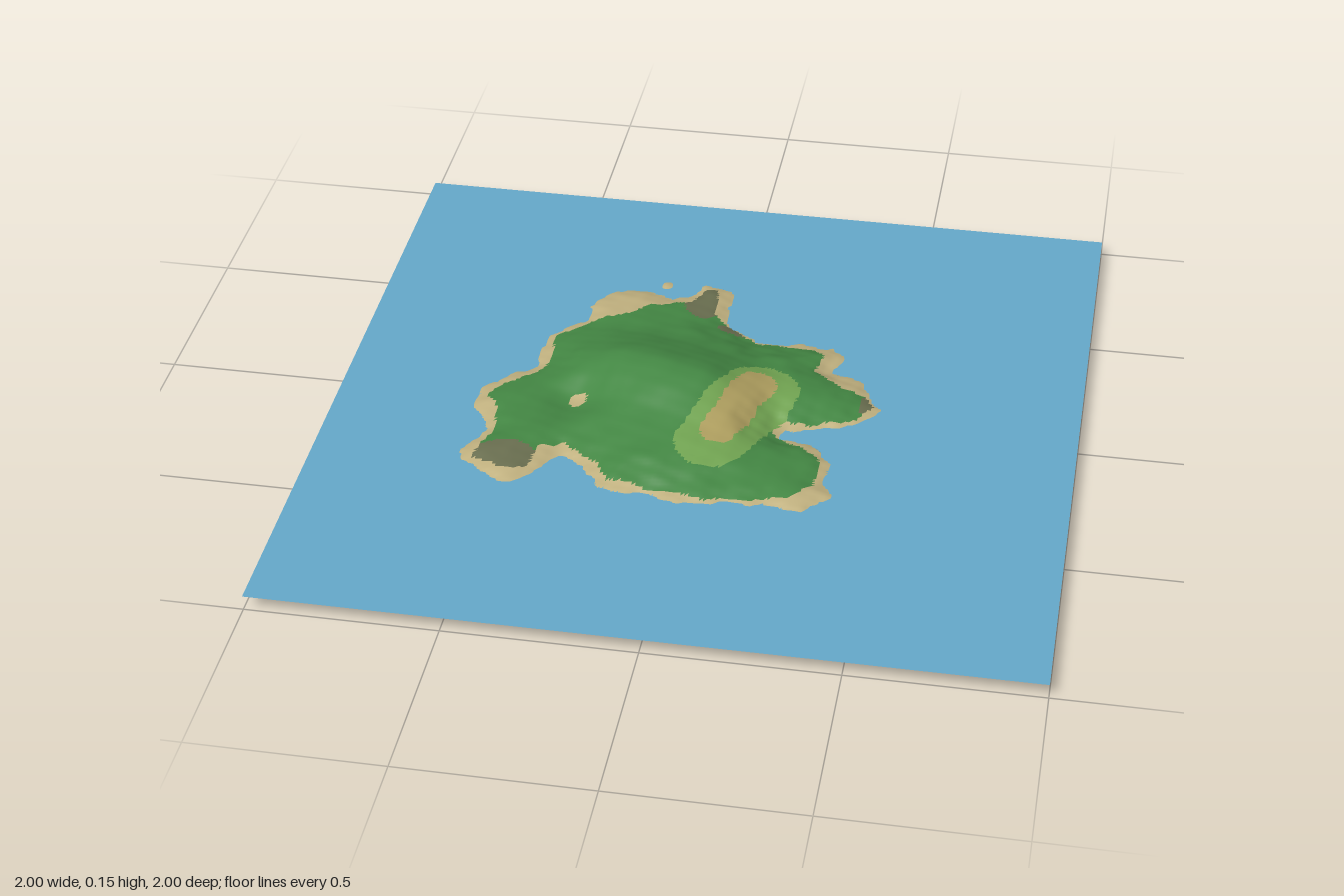
import * as THREE from 'three';

const WATER = 0.047, HALF = 0.868, N = 170;

// outlines as x, z pairs
const coast = [-0.10,-0.57, -0.03,-0.57, -0.01,-0.50, -0.02,-0.40, 0.05,-0.34, 0.10,-0.31, 0.22,-0.32, 0.30,-0.32,
  0.33,-0.27, 0.31,-0.20, 0.40,-0.17, 0.42,-0.11, 0.46,-0.05, 0.40,0.03, 0.30,0.06, 0.22,0.08, 0.21,0.12, 0.30,0.14,
  0.36,0.20, 0.35,0.30, 0.38,0.35, 0.32,0.43, 0.22,0.41, 0.12,0.42, 0.02,0.44, -0.10,0.42, -0.22,0.41, -0.26,0.34,
  -0.34,0.28, -0.38,0.33, -0.42,0.41, -0.48,0.43, -0.60,0.34, -0.60,0.28, -0.55,0.20, -0.62,0.10, -0.61,0.02,
  -0.55,-0.05, -0.49,-0.10, -0.49,-0.25, -0.40,-0.34, -0.40,-0.42, -0.35,-0.51, -0.25,-0.52, -0.18,-0.49, -0.12,-0.53];
const forest = [-0.09,-0.55, -0.06,-0.55, -0.05,-0.42, 0.02,-0.36, 0.10,-0.30, 0.25,-0.30, 0.28,-0.26, 0.27,-0.18,
  0.34,-0.12, 0.41,-0.10, 0.45,-0.06, 0.40,0.01, 0.30,0.05, 0.22,0.06, 0.19,0.11, 0.28,0.16, 0.34,0.22, 0.33,0.32,
  0.29,0.38, 0.20,0.40, 0.05,0.42, -0.05,0.41, -0.20,0.38, -0.24,0.32, -0.34,0.25, -0.40,0.27, -0.42,0.36,
  -0.48,0.38, -0.57,0.34, -0.56,0.28, -0.54,0.20, -0.55,0.12, -0.59,0.06, -0.56,0.0, -0.48,-0.06, -0.46,-0.12,
  -0.47,-0.25, -0.38,-0.34, -0.27,-0.39, -0.25,-0.43, -0.17,-0.46, -0.13,-0.47];
const shelf = [0.39,0.49, 0.42,0.25, 0.44,0.05, 0.48,-0.08, 0.45,-0.35, 0.28,-0.40, 0.11,-0.44, -0.02,-0.59, -0.14,-0.61,
  -0.27,-0.62, -0.48,-0.45, -0.63,-0.23, -0.665,0.03, -0.67,0.20, -0.71,0.36, -0.55,0.47, -0.36,0.47, -0.15,0.50, 0.05,0.535];

// rocky headlands: x, z, radius x, radius z
const rocks = [[-0.49, 0.33, 0.09, 0.065], [-0.085, -0.49, 0.06, 0.1], [0.45, -0.06, 0.045, 0.07], [0.03, -0.36, 0.06, 0.03]];
// hills and hollows: x, z, height, spread
const hills = [[-0.03, 0, 0.05, 0.11], [-0.22, -0.08, 0.047, 0.1], [-0.05, 0, 0.035, 0.25],
  [-0.02, 0.25, 0.012, 0.1], [-0.345, 0.055, -0.025, 0.06], [0.25, -0.15, 0.008, 0.1]];

function segmentDistance(x, z, ax, az, bx, bz) {
  const dx = bx - ax, dz = bz - az;
  const t = THREE.MathUtils.clamp(((x - ax) * dx + (z - az) * dz) / (dx * dx + dz * dz), 0, 1);
  return Math.hypot(x - ax - t * dx, z - az - t * dz);
}

// signed distance to an outline, positive inside
function inside(x, z, line) {
  let best = Infinity, hit = false;
  for (let i = 0, j = line.length - 2; i < line.length; j = i, i += 2) {
    const ax = line[j], az = line[j + 1], bx = line[i], bz = line[i + 1];
    best = Math.min(best, segmentDistance(x, z, ax, az, bx, bz));
    if ((az > z) !== (bz > z) && x < ax + (z - az) / (bz - az) * (bx - ax)) hit = !hit;
  }
  return hit ? best : -best;
}

// smooth repeatable unevenness, about -1 to 1
function rough(x, z, f) {
  return (Math.sin(f * (x + 0.4 * z) + 1.3) * Math.cos(f * (0.9 * z - 0.3 * x) + 0.4)
    + 0.6 * Math.sin(f * 1.9 * (z + 0.5 * x) + 2) * Math.cos(f * 2.1 * (x - 0.6 * z))) / 1.6;
}

function heightAt(x, z) {
  let d = inside(x, z, coast) + 0.011 * rough(x, z, 45);
  d = Math.max(d, 0.014 - Math.hypot(x + 0.21, z + 0.56));
  if (d < 0) {
    const away = Math.min(1, -d / 0.15);
    return Math.max(0, 0.007 + 0.04 * Math.exp(d / 0.25) + away * 0.007 * rough(x, z, 9));
  }
  let h = WATER + 0.012 * THREE.MathUtils.smoothstep(d, -0.02, 0.06);
  const rise = THREE.MathUtils.smoothstep(d, 0, 0.13);
  for (const [hx, hz, top, s] of hills)
    h += rise * top * Math.exp(-((x - hx) ** 2 + (z - hz) ** 2) / (2 * s * s));
  return h + rise * (0.004 * rough(x, z, 16) + 0.0015 * rough(x, z, 40));
}

// 0 deep, 1 shallow, 2 sand, 3 forest, 4 meadow, 5 dry grass, 6 rock
function zoneAt(x, z, y) {
  const wobble = 0.006 * rough(x, z, 40);
  if (y < WATER - 0.0005) return inside(x, z, shelf) + wobble > 0 ? 1 : 0;
  if (inside(x, z, forest) + wobble < 0 || Math.hypot(x + 0.345, z - 0.055) < 0.025) return 2;
  if (rocks.some(([rx, rz, a, b]) => ((x - rx) / a) ** 2 + ((z - rz) / b) ** 2 < 1)) return 6;
  if (segmentDistance(x, z, 0.13, -0.05, 0.06, 0.18) + wobble < 0.048) return 5;
  return segmentDistance(x, z, 0.15, -0.04, 0.045, 0.225) + wobble < 0.095 ? 4 : 3;
}

function material(name, color) {
  const m = new THREE.MeshStandardMaterial({ color, side: THREE.DoubleSide });
  m.name = name;
  return m;
}

export function createModel() {
  const model = new THREE.Group();
  model.name = 'island';
  const water = material('water', 0x66aacc);
  const materials = [material('deepSeabed', 0x223355), water, material('sand', 0xc2b280), material('forest', 0x448844),
    material('meadow', 0x72a552), material('dryGrass', 0xb0a060), material('rock', 0x6a6f50)];

  // one continuous seabed and island surface
  const geometry = new THREE.PlaneGeometry(HALF * 2, HALF * 2, N, N).rotateX(-Math.PI / 2);
  const p = geometry.attributes.position;
  for (let i = 0; i < p.count; i++) p.setY(i, heightAt(p.getX(i), p.getZ(i)));
  geometry.computeVertexNormals();

  // sort the triangles into colour zones
  const zones = materials.map(() => []);
  const index = geometry.index.array;
  for (let i = 0; i < index.length; i += 3) {
    const t = [index[i], index[i + 1], index[i + 2]];
    const mid = (get) => t.reduce((sum, v) => sum + get.call(p, v), 0) / 3;
    zones[zoneAt(mid(p.getX), mid(p.getZ), mid(p.getY))].push(...t);
  }
  geometry.setIndex(zones.flat());
  geometry.clearGroups();
  let start = 0;
  zones.forEach((zone, i) => {
    geometry.addGroup(start, zone.length, i);
    start += zone.length;
  });
  const terrain = new THREE.Mesh(geometry, materials);
  terrain.name = 'terrain';

  // flat sea surface
  const sea = new THREE.Mesh(new THREE.PlaneGeometry(2, 2).rotateX(-Math.PI / 2), water);
  sea.name = 'seaSurface';
  sea.position.y = WATER;

  model.add(terrain, sea);
  return model;
}
